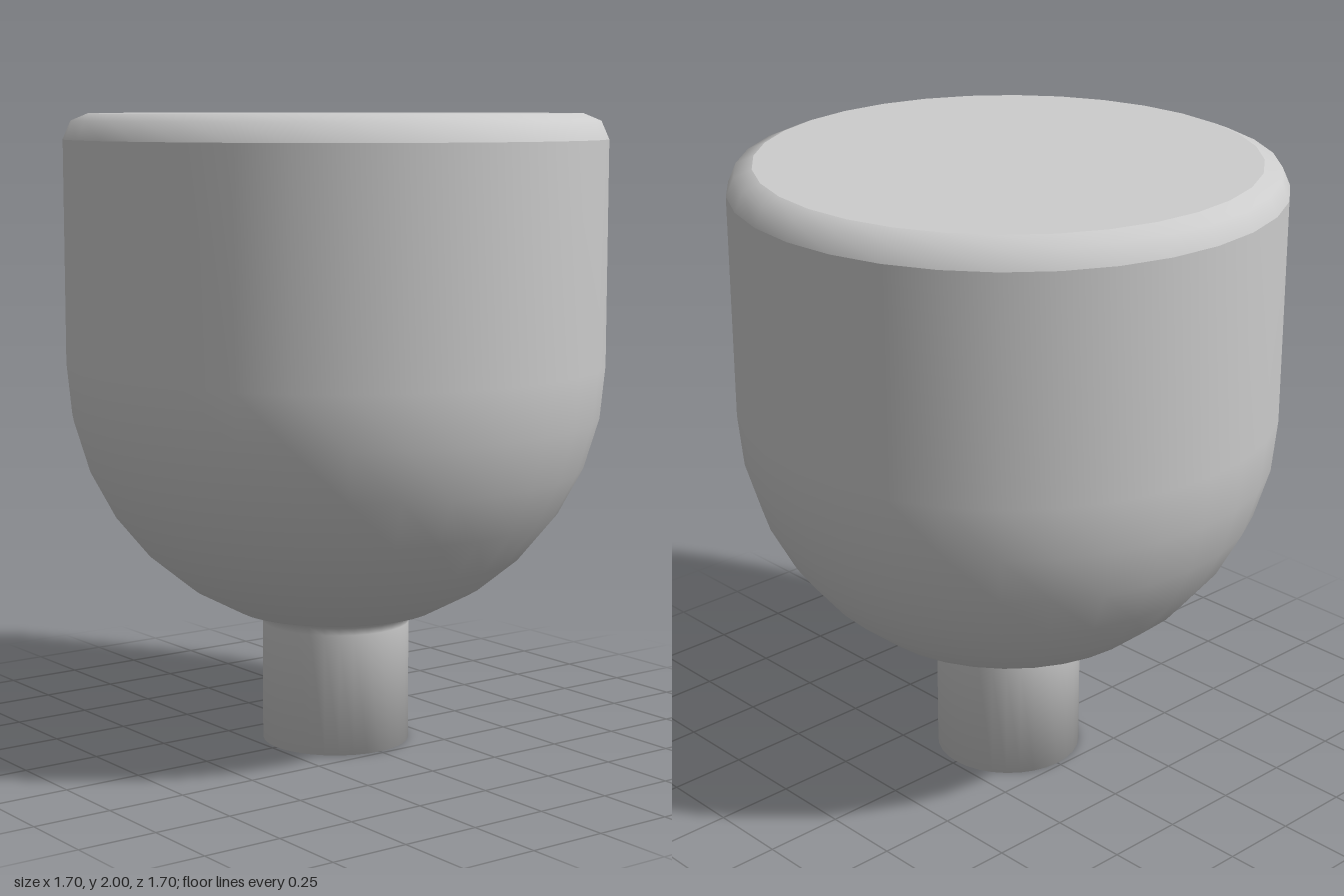
import * as THREE from 'three';

const SIDES = 32;
const RADIUS = 0.85;
const BOWL_Y = 1.22;

export function createModel() {
  const group = new THREE.Group();
  group.name = 'knob';
  const grey = new THREE.MeshStandardMaterial({ color: 0xcccccc });
  grey.name = 'lightGrey';

  const add = (name, geometry) => {
    const mesh = new THREE.Mesh(geometry, grey);
    mesh.name = name;
    group.add(mesh);
    return mesh;
  };
  const lathe = (points) =>
    new THREE.LatheGeometry(points.map(([x, y]) => new THREE.Vector2(x, y)), SIDES);

  // Stem with a small fillet, rising into the round bowl and straight wall
  const profile = [
    [0, 0], [0.235, 0], [0.235, 0.385], [0.246, 0.41], [0.27, 0.425],
  ];
  for (let i = 6; i >= 0; i--) {
    const a = (i * Math.PI) / 16;
    profile.push([RADIUS * Math.cos(a), BOWL_Y - RADIUS * Math.sin(a)]);
  }
  profile.push([RADIUS, 1.92]);
  add('stemAndBowl', lathe(profile));

  // Rounded rim
  add('rim', lathe([[RADIUS, 1.92], [0.825, 1.977], [0.77, 2]]));

  // Flat top
  const top = add('topFace', new THREE.CircleGeometry(0.77, SIDES));
  top.rotation.x = -Math.PI / 2;
  top.position.y = 2;

  return group;
}
